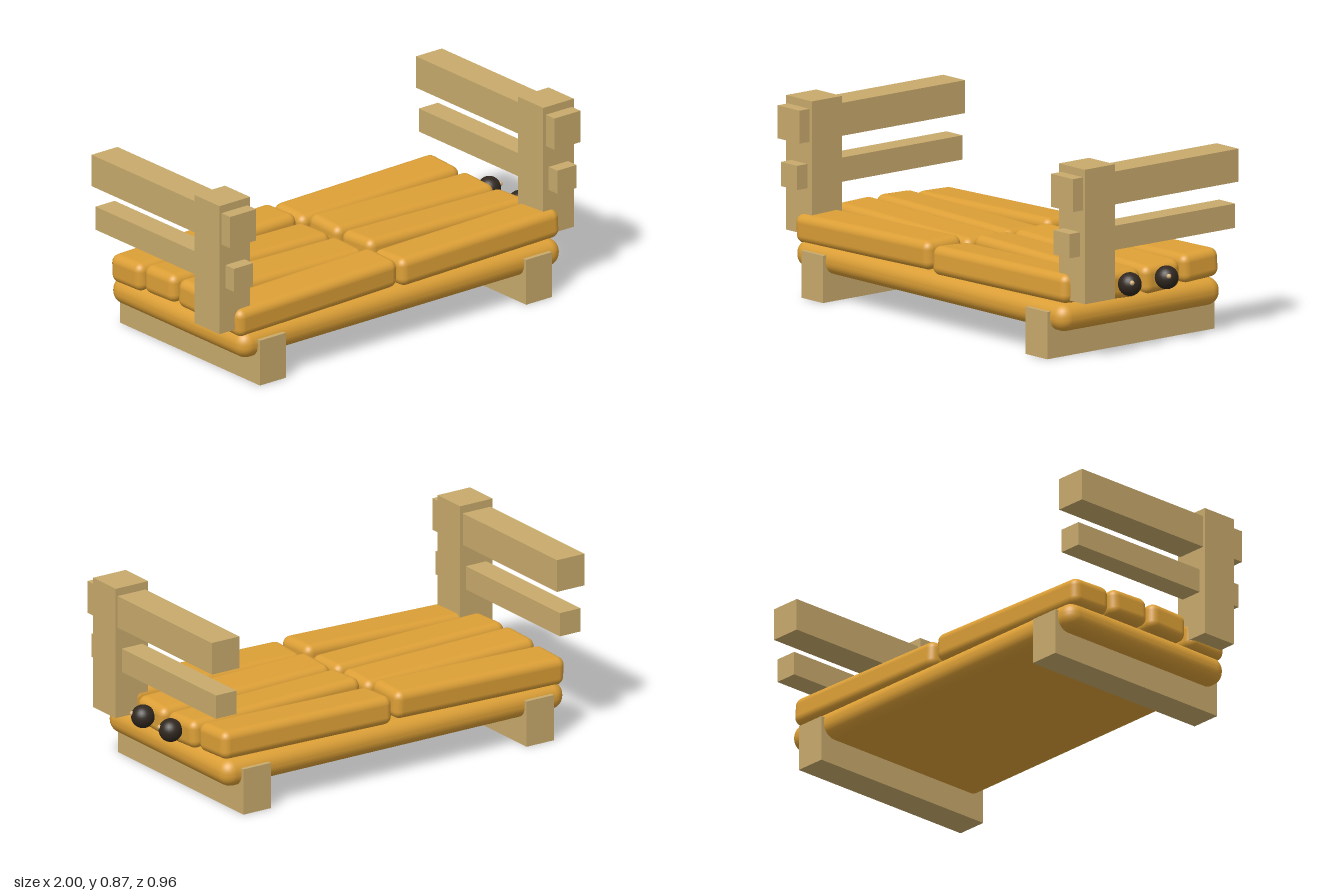
import * as THREE from 'three';
import { RoundedBoxGeometry } from 'three/addons/geometries/RoundedBoxGeometry.js';

export function createModel() {
  const model = new THREE.Group();
  const mat = (name, hex) => {
    const m = new THREE.MeshStandardMaterial({ color: hex });
    m.name = name;
    return m;
  };
  const wood = mat('pale wood', 0xc8aa6c);
  const fabric = mat('orange fabric', 0xdc9f36);
  const black = mat('dark brown', 0x30271f);
  const glint = mat('glint', 0xd6b078);

  const add = (name, geometry, material, x, y, z) => {
    const mesh = new THREE.Mesh(geometry, material);
    mesh.name = name;
    mesh.position.set(x, y, z);
    model.add(mesh);
    return mesh;
  };
  const box = (w, h, d) => new THREE.BoxGeometry(w, h, d);

  // Legs, posts and rails at both ends
  for (const [side, s] of [['left', 1], ['right', -1]]) {
    add(side + 'Leg', box(0.145, 0.21, 0.96), wood, s * 0.75, 0.105, 0);
    add(side + 'Post', box(0.172, 0.6, 0.172), wood, s * 0.912, 0.565, 0.33);
    add(side + 'UpperRail', box(0.146, 0.147, 0.95), wood, s * 0.914, 0.756, 0);
    add(side + 'LowerRail', box(0.108, 0.108, 0.95), wood, s * 0.911, 0.527, 0);
  }

  // Padded base
  add('basePad', new RoundedBoxGeometry(1.81, 0.126, 0.93, 4, 0.06), fabric, 0, 0.183, 0);

  // Two by four slightly tilted cushions
  const cushion = new RoundedBoxGeometry(0.9, 0.13, 0.21, 4, 0.038);
  [0.345, 0.116, -0.113, -0.342].forEach((z, row) => {
    const outer = row === 0 || row === 3;
    const front = z > 0 ? 1 : -1;
    const left = add('leftCushion' + row, cushion, fabric, outer ? 0.452 : 0.46, 0.304, z);
    left.rotation.set(-front * 0.05, 0, outer ? 0.017 : -0.023);
    const right = add('rightCushion' + row, cushion, fabric, -0.463, 0.303, z);
    right.rotation.set(front * 0.03, 0, outer ? 0.024 : -0.02);
  });

  // Eyes with small highlights
  for (const z of [0.112, -0.099]) {
    add('eye', new THREE.SphereGeometry(0.052, 24, 16), black, 0.945, 0.303, z);
    add('eyeHighlight', new THREE.SphereGeometry(0.011, 12, 8), glint, 0.987, 0.318, z + 0.023);
  }

  return model;
}
